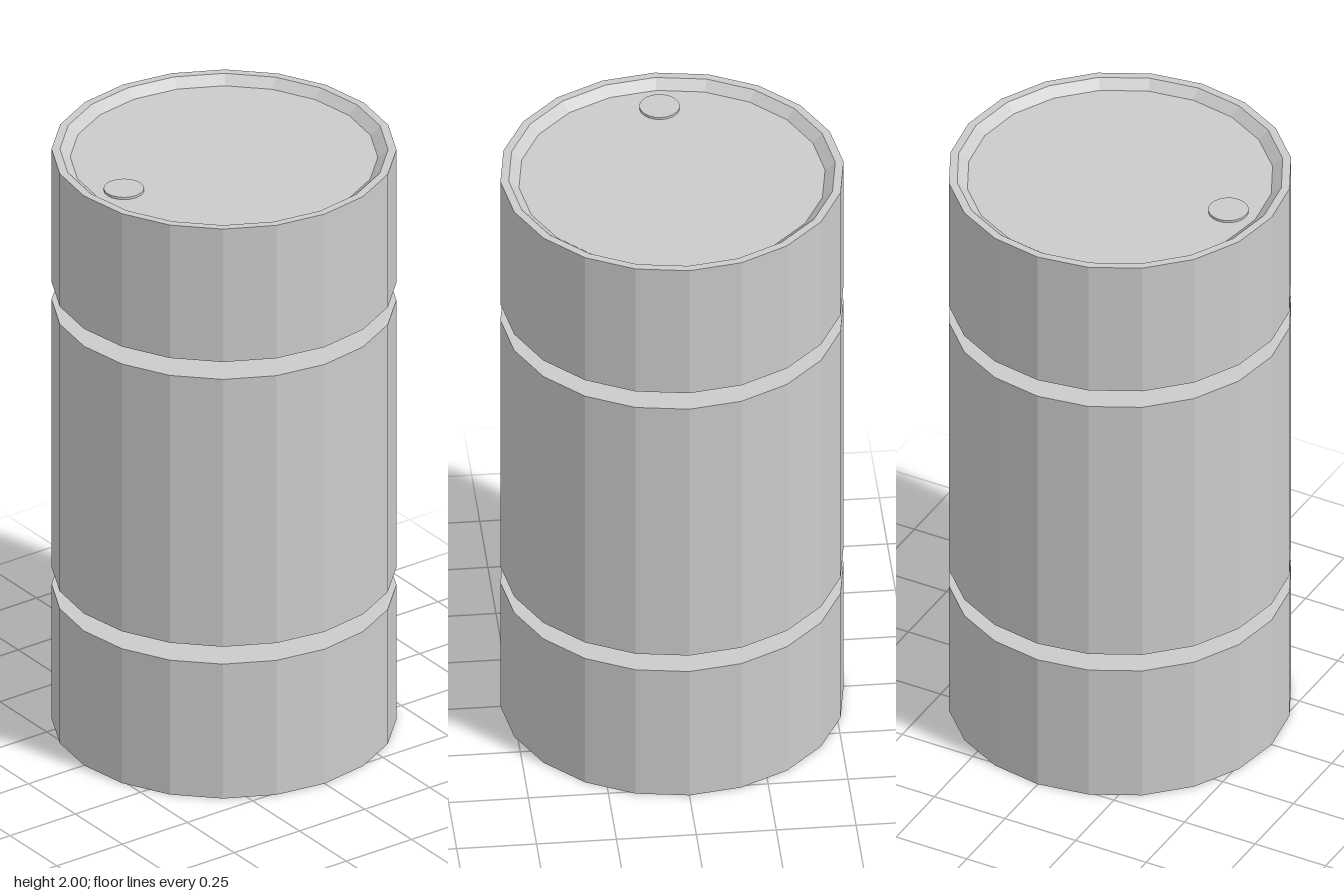
import * as THREE from 'three';

const SIDES = 20;
const RADIUS = 0.537;

export function createModel() {
  const model = new THREE.Group();
  model.name = 'drum';
  const material = new THREE.MeshStandardMaterial({ color: 0xcccccc, flatShading: true });

  // Every part is a faceted solid of revolution given as [radius, height] pairs, bottom to top
  const addTurned = (name, profile, sides = SIDES) => {
    const points = profile.map(([r, y]) => new THREE.Vector2(r, y));
    const mesh = new THREE.Mesh(new THREE.LatheGeometry(points, sides), material);
    mesh.name = name;
    model.add(mesh);
    return mesh;
  };

  // Closed lower and middle sections, separated by open gaps
  for (const [name, y0, y1] of [['lowerSection', 0, 0.472], ['middleSection', 0.533, 1.472]]) {
    addTurned(name, [[0, y0], [RADIUS, y0], [RADIUS, y1], [0, y1]]);
  }

  // Upper section with a flat rim sloping down to a recessed lid
  const lidY = 1.973;
  addTurned('upperSection', [
    [0, 1.533], [RADIUS, 1.533], [RADIUS, 2],
    [0.511, 2], [0.479, lidY], [0, lidY],
  ]);

  // Low bung cap near the front of the lid
  const bung = addTurned('bungCap', [[0.063, 0], [0.063, 0.008], [0, 0.008]]);
  bung.position.set(0, lidY, 0.384);

  return model;
}
